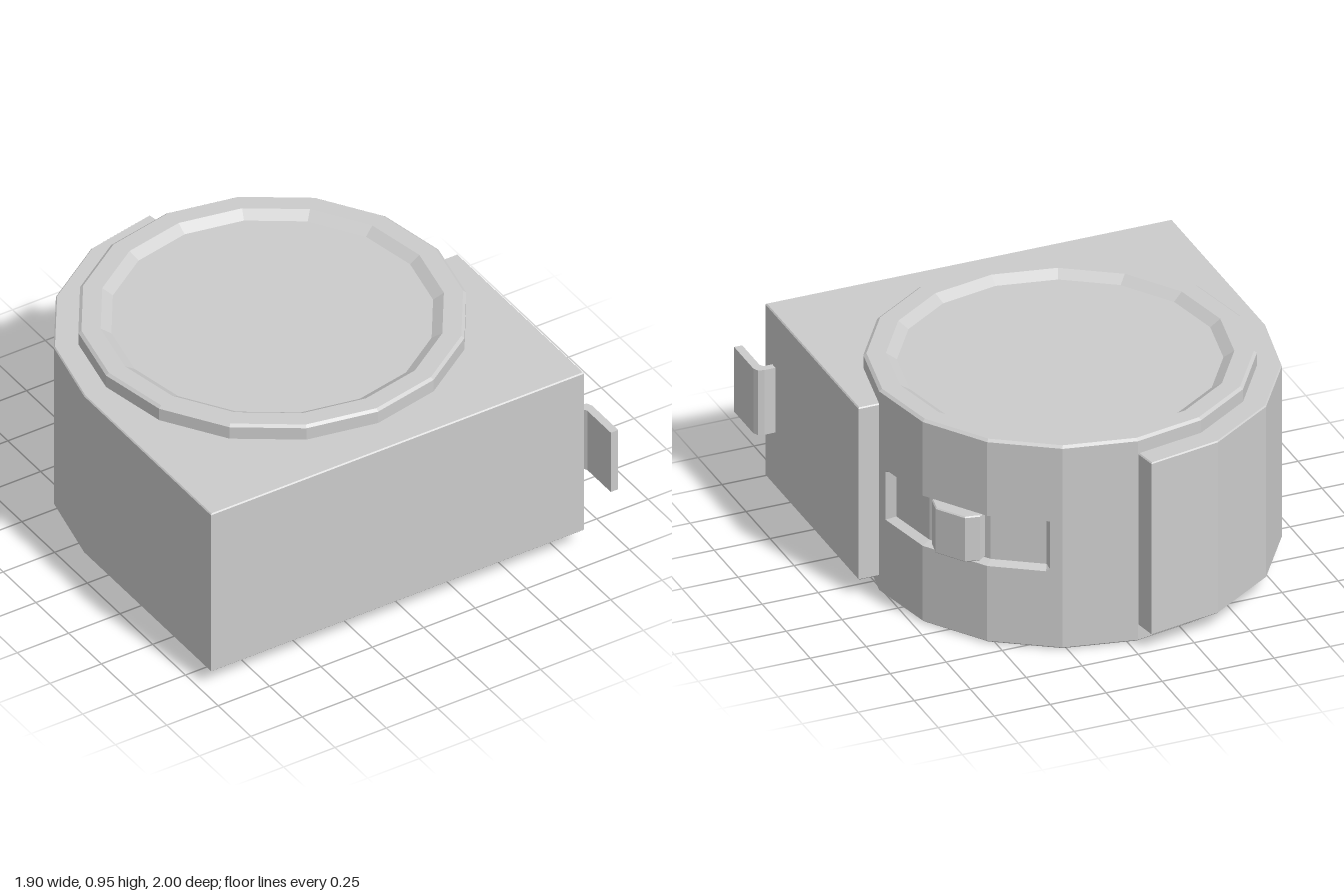
import * as THREE from 'three';

const material = new THREE.MeshStandardMaterial({ color: 0xcccccc, flatShading: true });
const CX = -0.04, CZ = -0.095, SIDES = 16;

// Vertical prism from an outline of [x, z] points, with finely chamfered edges
function prism(name, points, y0, y1, bevel = 0.005) {
  const shape = new THREE.Shape(points.map(([x, z]) => new THREE.Vector2(x, -z)));
  const geometry = new THREE.ExtrudeGeometry(shape, {
    depth: y1 - y0 - 2 * bevel, bevelEnabled: bevel > 0, bevelSize: bevel,
    bevelThickness: bevel, bevelOffset: -bevel, bevelSegments: 1,
  });
  geometry.rotateX(-Math.PI / 2).translate(0, y0 + bevel, 0);
  const mesh = new THREE.Mesh(geometry, material);
  mesh.name = name;
  return mesh;
}

// Point on the sixteen-sided drum section, t counted in sides from +x towards the back
function sectionPoint(t, r, y) {
  const corner = (k) => {
    const a = (k * 2 * Math.PI) / SIDES;
    return new THREE.Vector3(CX + r * Math.cos(a), y, CZ - r * Math.sin(a));
  };
  const k = Math.floor(t);
  return corner(k).lerp(corner(k + 1), t - k);
}

// Drum lofted through rings, with dished faces and a sunken slot in its side
function createDrum() {
  const ts = [0, 0.145, 0.2, 1, 2, 2.78, 2.83];
  for (let k = 3; k <= SIDES; k++) ts.push(k);
  const R = 0.808;
  // [height, radius, radius inside the slot]
  const rows = [
    [0.03, 0, 0], [0.03, 0.67, 0.67], [0, 0.715, 0.715], [0, 0.795, 0.795], [0.01, R, R],
    [0.36, R, R], [0.373, R, R - 0.04], [0.583, R, R - 0.04], [0.595, R, R],
    [0.94, R, R], [0.95, 0.795, 0.795], [0.95, 0.715, 0.715], [0.92, 0.67, 0.67], [0.92, 0, 0],
  ];
  const rings = rows.map(([y, r, slotR]) =>
    ts.map((t) => sectionPoint(t, t > 0.15 && t < 2.8 ? slotR : r, y)));
  const positions = [];
  const triangle = (...corners) => corners.forEach((p) => positions.push(p.x, p.y, p.z));
  for (let i = 0; i < rings.length - 1; i++) {
    for (let j = 0; j < ts.length - 1; j++) {
      const a = rings[i][j], b = rings[i][j + 1], c = rings[i + 1][j + 1], d = rings[i + 1][j];
      if (rows[i][1] > 0) triangle(a, b, c);
      if (rows[i + 1][1] > 0) triangle(a, c, d);
      else triangle(a, b, d);
    }
  }
  const geometry = new THREE.BufferGeometry();
  geometry.setAttribute('position', new THREE.Float32BufferAttribute(positions, 3));
  geometry.computeVertexNormals();
  const mesh = new THREE.Mesh(geometry, material);
  mesh.name = 'drum';
  return mesh;
}

export function createModel() {
  const group = new THREE.Group();
  group.name = 'tapeMeasure';
  group.add(createDrum());

  // Square-fronted casing wrapping the left and back of the drum
  const outline = [[-0.955, 0.875], [0.86, 0.875], [0.86, -0.095], [0.6, -0.095], [-0.04, -0.7], [-0.04, -0.88]];
  const outer = [[-0.06, -1], [-0.385, -0.935], [-0.685, -0.735], [-0.88, -0.445], [-0.955, -0.095]];
  group.add(prism('casing', [...outline, ...outer], 0.075, 0.882));

  // Sliding lock button standing in the slot
  group.add(prism('lockButton', [
    [0.5, -0.6], [0.55, -0.637], [0.612, -0.625], [0.692, -0.505], [0.677, -0.43], [0.62, -0.4],
  ], 0.373, 0.585));

  // Bent end hook at the tape mouth
  group.add(prism('endHook', [
    [0.84, 0.77], [0.91, 0.77], [0.935, 0.777], [0.946, 0.8], [0.946, 1],
    [0.91, 1], [0.91, 0.82], [0.9, 0.803], [0.84, 0.803],
  ], 0.33, 0.633, 0));
  return group;
}
